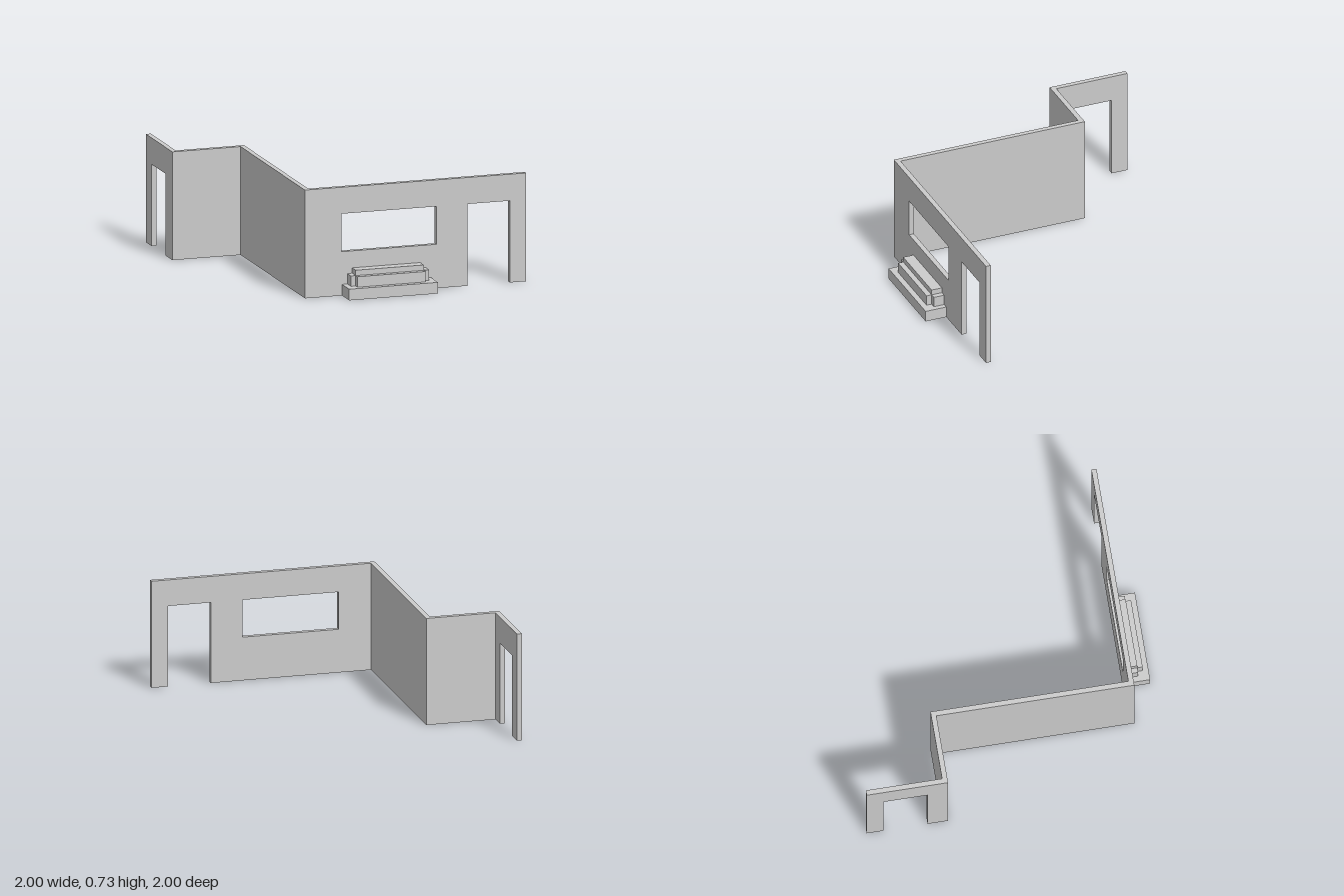
import * as THREE from 'three';

const HEIGHT = 0.728, THICK = 0.034;
const DOOR_TOP = 0.55;

export function createModel() {
  const model = new THREE.Group();
  const material = new THREE.MeshStandardMaterial({ color: 0xcccccc, flatShading: true });

  const add = (name, geometry) => {
    const mesh = new THREE.Mesh(geometry, material);
    mesh.name = name;
    model.add(mesh);
    return mesh;
  };

  // Box given by its limits on each axis
  const block = (name, x0, x1, y0, y1, z0, z1) => {
    const mesh = add(name, new THREE.BoxGeometry(x1 - x0, y1 - y0, z1 - z0));
    mesh.position.set((x0 + x1) / 2, (y0 + y1) / 2, (z0 + z1) / 2);
  };

  // Wall panel in the xy plane with an open doorway and an optional window
  const panel = (name, u0, u1, door, win) => {
    const shape = new THREE.Shape([
      [u0, 0], [door[0], 0], [door[0], DOOR_TOP], [door[1], DOOR_TOP],
      [door[1], 0], [u1, 0], [u1, HEIGHT], [u0, HEIGHT],
    ].map(([x, y]) => new THREE.Vector2(x, y)));
    if (win) {
      const [a, b, c, d] = win;
      shape.holes.push(new THREE.Path([[a, c], [a, d], [b, d], [b, c]]
        .map(([x, y]) => new THREE.Vector2(x, y))));
    }
    return add(name, new THREE.ExtrudeGeometry(shape, { depth: THICK, bevelEnabled: false }));
  };

  // Front wall with window and doorway
  panel('frontWall', -0.528, 1, [0.596, 0.888], [-0.275, 0.38, 0.295, DOOR_TOP])
    .position.z = 0.819;

  // Plain side wall and the short return wall
  block('sideWall', -0.528, -0.494, 0, HEIGHT, -0.46, 0.819);
  block('returnWall', -1, -0.494, 0, HEIGHT, -0.494, -0.46);

  // Rear side wall with doorway, running back along z
  const rear = panel('rearSideWall', 0.494, 1, [0.596, 0.888]);
  rear.rotation.y = Math.PI / 2;
  rear.position.x = -1;

  // Stepped ledge below the window
  const back = 0.853;
  block('ledgeBase', -0.272, 0.342, 0, 0.075, back, 1);
  block('ledgeWideTier', -0.235, 0.306, 0.075, 0.145, back, 0.926);
  block('ledgeFrontTier', -0.202, 0.269, 0.075, 0.145, 0.926, 0.962);
  block('ledgeTopTier', -0.202, 0.269, 0.145, 0.181, back, 0.926);

  return model;
}
